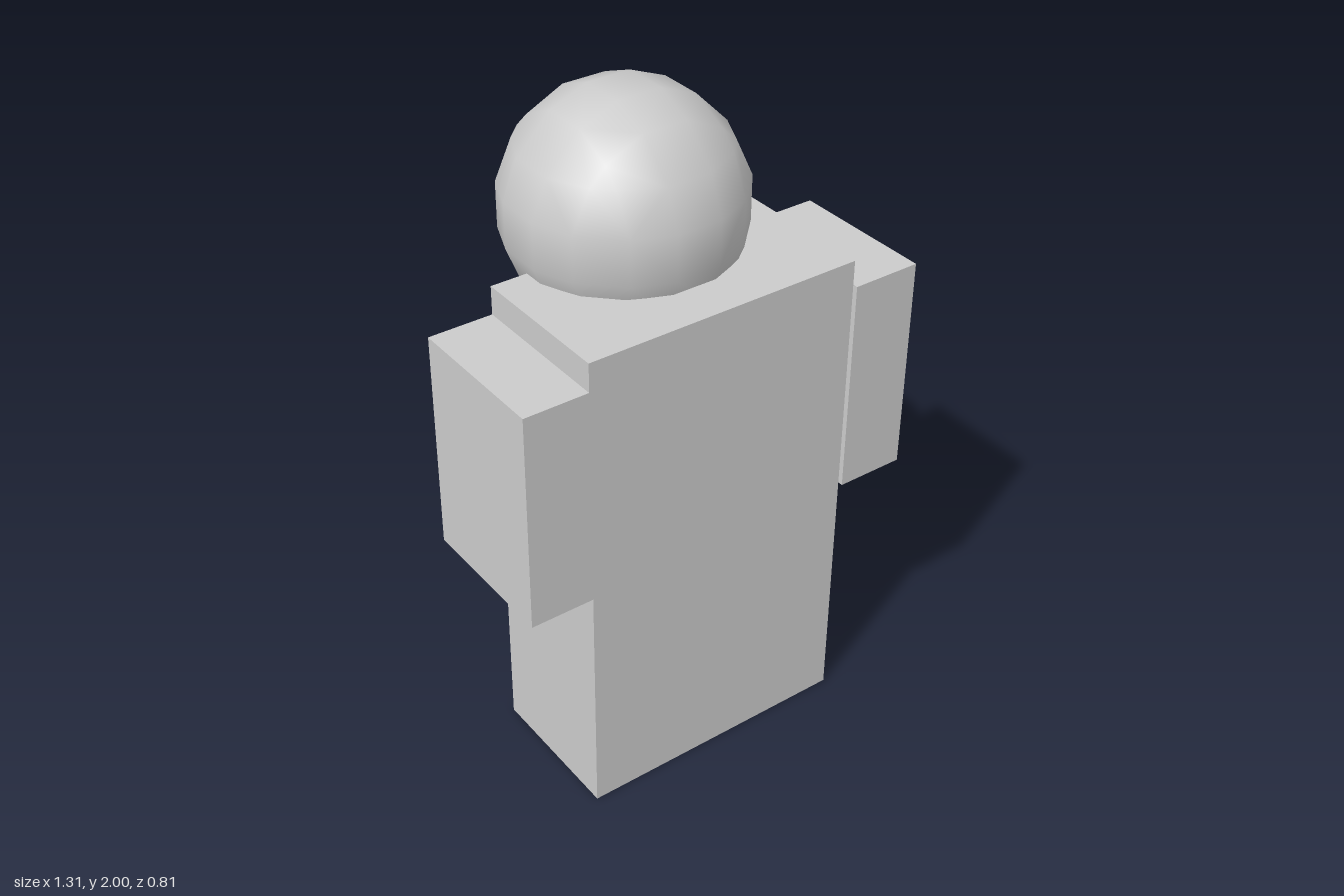
import * as THREE from 'three';
import { ConvexGeometry } from 'three/addons/geometries/ConvexGeometry.js';

const material = new THREE.MeshStandardMaterial({ color: 0xcccccc });

// Box given by its limits on each axis
function block(name, [x0, x1], [y0, y1], [z0, z1]) {
  const mesh = new THREE.Mesh(new THREE.BoxGeometry(x1 - x0, y1 - y0, z1 - z0), material);
  mesh.name = name;
  mesh.position.set((x0 + x1) / 2, (y0 + y1) / 2, (z0 + z1) / 2);
  return mesh;
}

// Low-poly ball: a 4 x 4 grid of points on each of six sides, with radial smooth normals
function ballGeometry(radius) {
  const steps = [-0.525, -0.196, 0.196, 0.525].map((s) => s * radius);
  const points = [];
  for (const u of steps) {
    for (const v of steps) {
      const w = Math.sqrt(radius * radius - u * u - v * v);
      for (const s of [w, -w]) {
        points.push(
          new THREE.Vector3(u, v, s),
          new THREE.Vector3(s, u, v),
          new THREE.Vector3(v, s, u)
        );
      }
    }
  }
  const geometry = new ConvexGeometry(points);
  const normals = geometry.attributes.position.clone();
  geometry.setAttribute('normal', normals);
  geometry.normalizeNormals();
  return geometry;
}

export function createModel() {
  const model = new THREE.Group();
  model.name = 'blockFigure';
  const depth = [-0.057, 0.405];

  // Body slab, slightly off centre
  model.add(block('body', [-0.455, 0.42], [0, 1.54], depth));

  // Arms: the right one runs into the body, the left one leaves a thin gap
  model.add(block('leftArm', [0.435, 0.653], [0.772, 1.452], depth));
  model.add(block('rightArm', [-0.653, -0.435], [0.772, 1.452], depth));

  // Head, set back over the rear edge of the body
  const head = new THREE.Mesh(ballGeometry(0.357), material);
  head.name = 'head';
  head.position.set(-0.017, 1.657, -0.062);
  model.add(head);

  return model;
}
